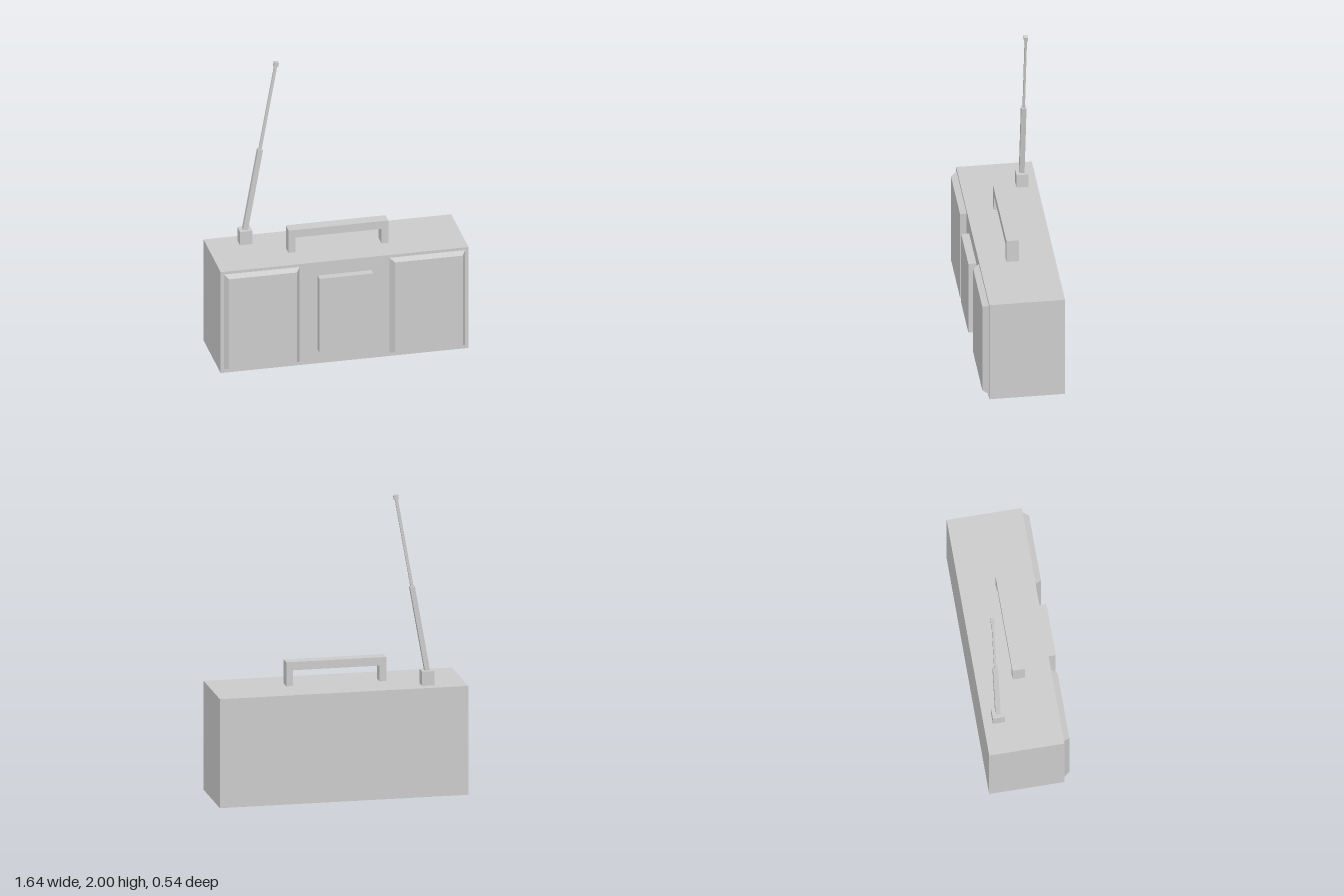
import * as THREE from 'three';

const material = new THREE.MeshStandardMaterial({ color: 0xcccccc, flatShading: true });

function addMesh(parent, name, geometry, x, y, z) {
  const mesh = new THREE.Mesh(geometry, material);
  mesh.name = name;
  mesh.position.set(x, y, z);
  parent.add(mesh);
  return mesh;
}

// Box given by its minimum and maximum corners
function addBox(parent, name, [x0, y0, z0], [x1, y1, z1]) {
  return addMesh(parent, name, new THREE.BoxGeometry(x1 - x0, y1 - y0, z1 - z0),
    (x0 + x1) / 2, (y0 + y1) / 2, (z0 + z1) / 2);
}

// Box whose front face is inset to give bevelled sides
function bevelledPanel(width, height, depth, insetX, insetY) {
  const geometry = new THREE.BoxGeometry(width, height, depth);
  const p = geometry.attributes.position;
  for (let i = 0; i < p.count; i++) {
    if (p.getZ(i) > 0) {
      p.setX(i, p.getX(i) - Math.sign(p.getX(i)) * insetX);
      p.setY(i, p.getY(i) - Math.sign(p.getY(i)) * insetY);
    }
  }
  geometry.computeVertexNormals();
  return geometry;
}

export function createModel() {
  const model = new THREE.Group();
  model.name = 'portableRadio';

  // Cabinet and cassette door
  addBox(model, 'cabinet', [-0.82, 0, -0.272], [0.82, 0.725, 0.22]);
  addBox(model, 'cassetteDoor', [-0.178, 0.1, 0.22], [0.178, 0.63, 0.272]);

  // Bevelled speaker panels, one each side
  for (const side of [-1, 1]) {
    addMesh(model, side > 0 ? 'leftSpeaker' : 'rightSpeaker',
      bevelledPanel(0.5, 0.68, 0.04, 0.025, 0.018), side * 0.548, 0.365, 0.24);
  }

  // Carrying handle: a square arch
  const arch = new THREE.Shape();
  arch.moveTo(-0.33, 0);
  for (const [x, y] of [[-0.285, 0], [-0.285, 0.105], [0.285, 0.105], [0.285, 0],
    [0.33, 0], [0.33, 0.16], [-0.33, 0.16]]) arch.lineTo(x, y);
  arch.closePath();
  addMesh(model, 'handle',
    new THREE.ExtrudeGeometry(arch, { depth: 0.08, bevelEnabled: false }), 0, 0.725, -0.036);

  // Antenna mount and tilted telescopic rod
  addBox(model, 'antennaMount', [-0.61, 0.725, -0.212], [-0.528, 0.82, -0.134]);
  const antenna = new THREE.Group();
  antenna.name = 'antenna';
  antenna.position.set(-0.57, 0.81, -0.173);
  antenna.rotation.z = -THREE.MathUtils.degToRad(10);
  model.add(antenna);
  const sections = [
    ['lowerRod', 0, 0.581, 0.033, 0.033],
    ['upperRod', 0.581, 1.175, 0.019, 0.014],
    ['antennaTip', 1.175, 1.205, 0.03, 0.025],
  ];
  for (const [name, y0, y1, w, d] of sections) {
    addBox(antenna, name, [-w / 2, y0, -d / 2], [w / 2, y1, d / 2]);
  }

  return model;
}
